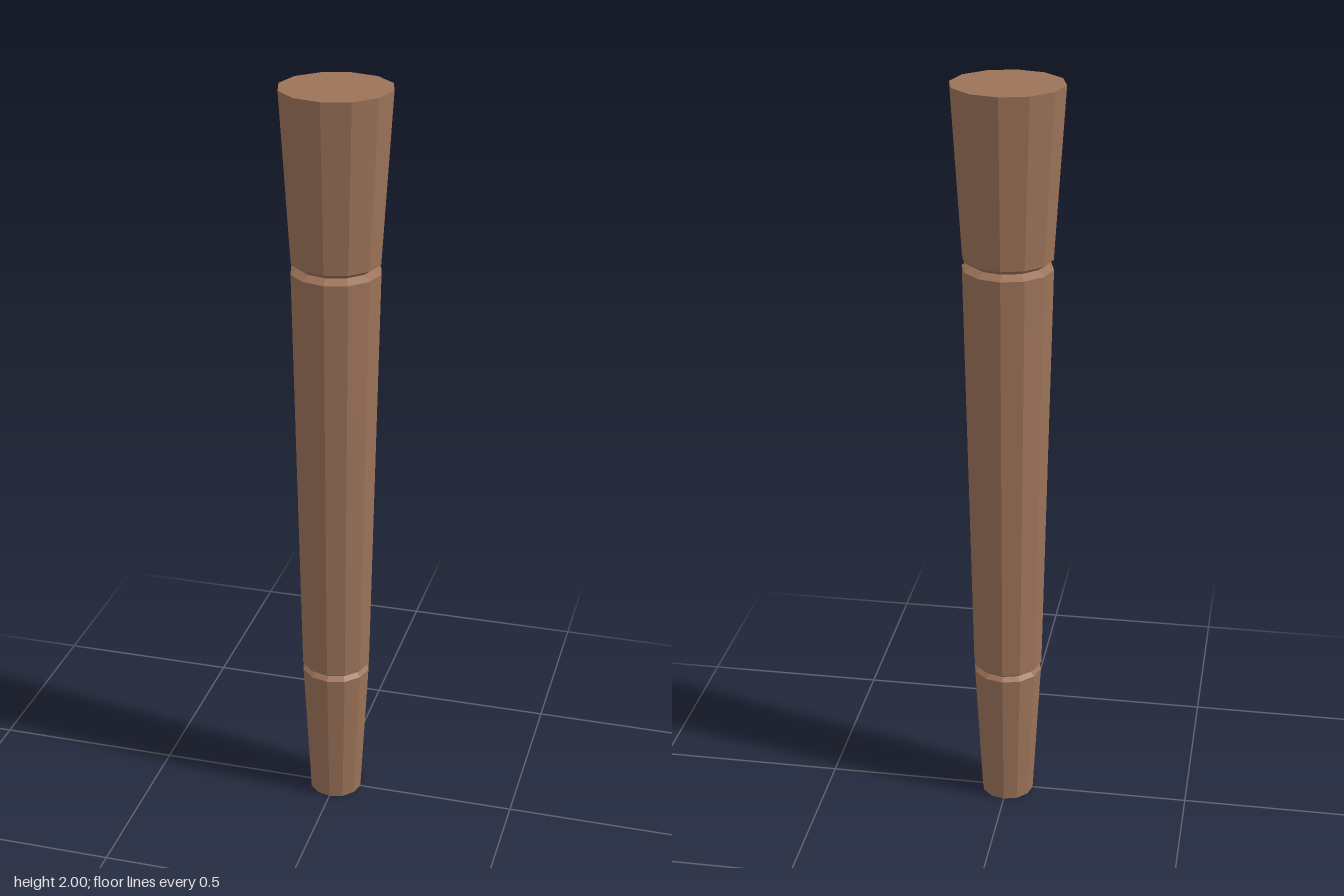
import * as THREE from 'three';

export function createModel() {
  const group = new THREE.Group();
  const wood = new THREE.MeshStandardMaterial({ color: 0x9c7359, flatShading: true });
  wood.name = 'brown wood';

  // Twelve-sided turned section from [radius, height] pairs, bottom to top
  const addSection = (name, profile) => {
    const points = profile.map(([r, y]) => new THREE.Vector2(r, y));
    const mesh = new THREE.Mesh(new THREE.LatheGeometry(points, 12), wood);
    mesh.name = name;
    group.add(mesh);
  };

  // Sections meet at the bottoms of the two V-shaped grooves
  addSection('foot', [[0, 0], [0.071, 0], [0.092, 0.387], [0.08, 0.398]]);
  addSection('shaft', [[0.08, 0.398], [0.093, 0.408], [0.117, 1.535], [0.096, 1.548]]);
  addSection('head', [[0.096, 1.548], [0.116, 1.561], [0.144, 2], [0, 2]]);

  return group;
}
